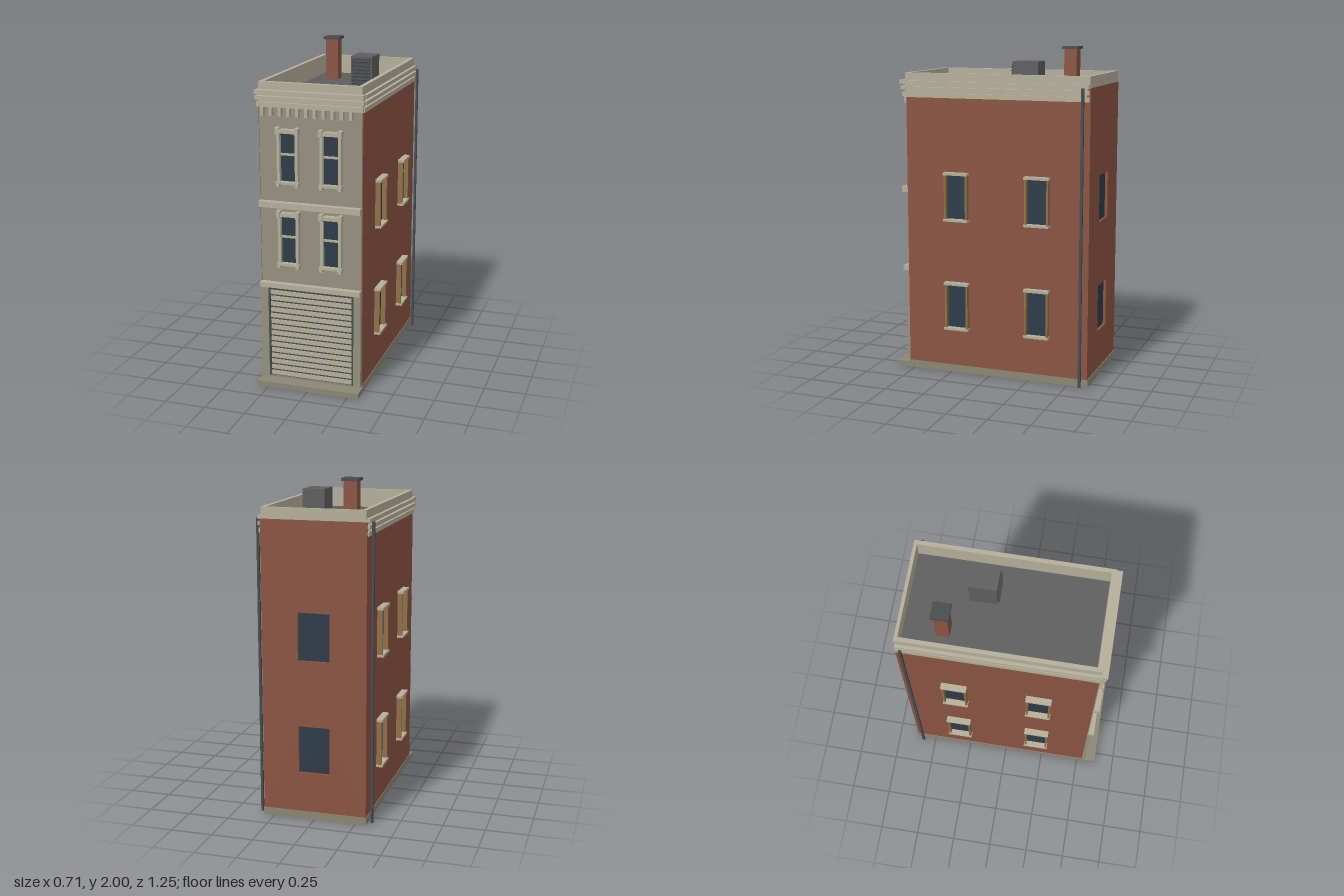
import * as THREE from 'three';

const mat = (name, color) => {
  const m = new THREE.MeshStandardMaterial({ color });
  m.name = name;
  return m;
};

export function createModel() {
  const brick = mat('brick', 0x8b5443), stone = mat('facade stone', 0x96917f), trim = mat('pale trim', 0xb5ae9a);
  const base = mat('foundation', 0x8b8774), roofGrey = mat('roof', 0x5e5e5e), glass = mat('glass', 0x2d3b47);
  const wood = mat('wood frame', 0x8f7048), metal = mat('dark metal', 0x484c4e);
  const model = new THREE.Group();
  model.name = 'townhouse';

  // Box given by its min and max on each axis
  const box = (parent, name, m, x0, x1, y0, y1, z0, z1) => {
    const mesh = new THREE.Mesh(new THREE.BoxGeometry(x1 - x0, y1 - y0, z1 - z0), m);
    mesh.position.set((x0 + x1) / 2, (y0 + y1) / 2, (z0 + z1) / 2);
    mesh.name = name;
    parent.add(mesh);
    return mesh;
  };
  const group = (name, x = 0, y = 0, z = 0) => {
    const g = new THREE.Group();
    g.name = name;
    g.position.set(x, y, z);
    model.add(g);
    return g;
  };
  const rect = (T, x0, x1, y0, y1) => new T([
    [x0, y0], [x1, y0], [x1, y1], [x0, y1]].map(p => new THREE.Vector2(...p)));
  const extrude = (shape, depth) => new THREE.ExtrudeGeometry(shape, { depth, bevelEnabled: false });

  // Foundation and front step
  box(model, 'foundation', base, -0.317, 0.317, 0, 0.045, -0.625, 0.54);
  box(model, 'frontStep', base, -0.317, 0.317, 0, 0.032, 0.54, 0.625);

  // Brick body, with a pierced back wall
  box(model, 'brickBody', brick, -0.314, 0.314, 0.045, 1.72, -0.6, 0.535);
  const back = rect(THREE.Shape, -0.314, 0.314, 0.045, 1.78);
  const storeys = [[0.285, 0.57], [0.965, 1.25]];
  for (const [y0, y1] of storeys) {
    back.holes.push(rect(THREE.Path, -0.095, 0.095, y0, y1));
    box(model, 'backWindowGlass', glass, -0.095, 0.095, y0, y1, -0.604, -0.598);
  }
  const backWall = new THREE.Mesh(extrude(back, 0.021), brick);
  backWall.name = 'backWall';
  backWall.position.z = -0.621;
  model.add(backWall);

  // Roof deck and parapet ring
  box(model, 'roofDeck', roofGrey, -0.285, 0.285, 1.715, 1.73, -0.599, 0.515);
  const ring = rect(THREE.Shape, -0.31, 0.31, -0.543, 0.617);
  ring.holes.push(rect(THREE.Path, -0.284, 0.284, -0.513, 0.597));
  const parapet = new THREE.Mesh(extrude(ring, 0.137), trim);
  parapet.name = 'parapet';
  parapet.rotation.x = -Math.PI / 2;
  parapet.position.y = 1.71;
  model.add(parapet);

  // Stepped cornice on the front and both sides
  const cornice = group('cornice');
  for (const [y0, y1, x, z] of [[1.78, 1.803, 0.325, 0.577], [1.745, 1.768, 0.325, 0.568], [1.705, 1.732, 0.318, 0.56]]) {
    box(cornice, 'frontBand', trim, -x, x, y0, y1, 0.53, z);
    for (const s of [-1, 1]) {
      const m = box(cornice, 'sideBand', trim, 0.3, x + 0.005, y0 - 0.004, y1 - 0.004, -0.615, 0.535);
      m.position.x *= s;
    }
  }
  for (let i = 0; i < 11; i++) {
    const x = -0.28 + i * 0.053;
    box(cornice, 'dentil', trim, x - 0.009, x + 0.009, 1.658, 1.705, 0.535, 0.575);
  }

  // Stone front and string courses
  box(model, 'stoneFront', stone, -0.309, 0.309, 0.045, 1.715, 0.53, 0.541);
  box(model, 'upperStringCourse', trim, -0.31, 0.31, 1.115, 1.15, 0.535, 0.577);
  box(model, 'lowerStringCourse', trim, -0.31, 0.31, 0.62, 0.65, 0.535, 0.577);

  // Front sash windows
  for (const y of [0.75, 1.245]) for (const x of [-0.13, 0.13]) {
    const w = group('frontWindow', x, y, 0.54);
    box(w, 'glass', glass, -0.047, 0.047, 0.03, 0.315, 0, 0.005);
    box(w, 'meetingRail', trim, -0.047, 0.047, 0.183, 0.196, 0, 0.014);
    box(w, 'head', trim, -0.07, 0.07, 0.315, 0.338, 0, 0.036);
    box(w, 'sill', trim, -0.07, 0.07, 0.015, 0.03, 0, 0.036);
    for (const s of [-1, 1]) {
      box(w, 'jamb', trim, s * 0.055 - 0.009, s * 0.055 + 0.009, 0.03, 0.315, 0, 0.03);
      box(w, 'headCap', trim, s * 0.058 - 0.012, s * 0.058 + 0.012, 0.31, 0.348, 0, 0.042);
      box(w, 'sillFoot', trim, s * 0.057 - 0.01, s * 0.057 + 0.01, 0, 0.017, 0, 0.04);
    }
  }

  // Roller door with pilasters and guide rails
  const door = group('garageDoor');
  box(door, 'doorBacking', metal, -0.255, 0.255, 0.045, 0.62, 0.538, 0.543);
  const pitch = 0.575 / 15.5;
  for (let i = 0; i < 15; i++) {
    const y = 0.05 + i * pitch;
    box(door, 'slat', trim, -0.255, 0.255, y, y + pitch * 0.72, 0.54, 0.548);
  }
  for (const s of [-1, 1]) {
    box(door, 'pilaster', stone, s * 0.288 - 0.022, s * 0.288 + 0.022, 0.045, 0.62, 0.535, 0.556);
    box(door, 'guideRail', metal, s * 0.26 - 0.006, s * 0.26 + 0.006, 0.045, 0.62, 0.535, 0.554);
  }

  // Side windows and downpipes, mirrored
  for (const s of [-1, 1]) {
    for (const [y0, y1] of storeys) for (const z of [0.207, -0.307]) {
      const w = group('sideWindow', s * 0.314, 0, z);
      w.rotation.y = s * Math.PI / 2;
      box(w, 'glass', glass, -0.064, 0.064, y0, y1, -0.002, 0.003);
      box(w, 'lintel', trim, -0.078, 0.078, y1 - 0.01, y1 + 0.006, 0, 0.039);
      box(w, 'sill', trim, -0.078, 0.078, y0 - 0.008, y0 + 0.006, 0, 0.039);
      for (const k of [-1, 1]) box(w, 'jamb', wood, k * 0.068 - 0.006, k * 0.068 + 0.006, y0 + 0.006, y1 - 0.01, 0, 0.032);
    }
    box(model, 'downpipe', metal, s * 0.341 - 0.007, s * 0.341 + 0.007, 0.003, 1.78, -0.589, -0.573);
  }

  // Chimney
  box(model, 'chimney', brick, -0.196, -0.117, 1.725, 1.985, -0.408, -0.329);
  box(model, 'chimneyCap', metal, -0.208, -0.105, 1.984, 2, -0.421, -0.317);

  // Rooftop air unit with louvres
  const unit = group('airUnit');
  box(unit, 'housing', roofGrey, 0.042, 0.177, 1.725, 1.918, -0.258, -0.097);
  box(unit, 'louvreBacking', metal, 0.05, 0.169, 1.745, 1.905, -0.098, -0.094);
  for (let i = 0; i < 7; i++) {
    const m = box(unit, 'louvre', metal, 0.05, 0.169, 1.752 + i * 0.022, 1.758 + i * 0.022, -0.099, -0.085);
    m.rotation.x = 0.4;
  }
  return model;
}
